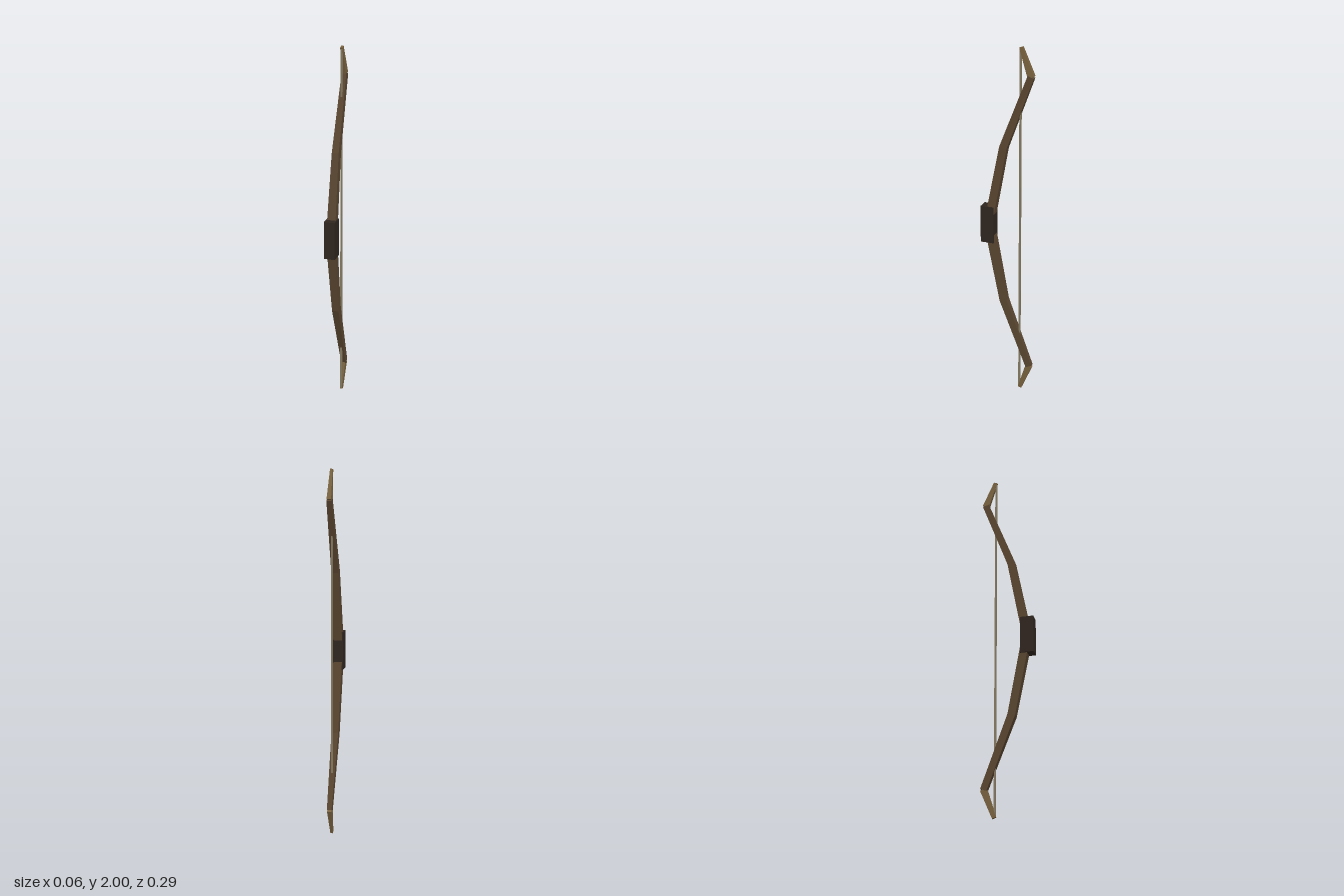
import * as THREE from 'three';

const paint = (color) => new THREE.MeshStandardMaterial({ color, flatShading: true });

// Lofts rectangular sections, listed bottom to top.
// Each section: [frontY, frontZ, backY, backZ, frontHalfWidth, backHalfWidth]
function loft(sections) {
  const positions = [];
  const index = [];
  for (const [fy, fz, by, bz, fw, bw] of sections) {
    positions.push(fw, fy, fz, bw, by, bz, -bw, by, bz, -fw, fy, fz);
  }
  for (let i = 0; i < sections.length - 1; i++) {
    for (let k = 0; k < 4; k++) {
      const a = i * 4 + k;
      const b = i * 4 + ((k + 1) % 4);
      index.push(a, b, b + 4, a, b + 4, a + 4);
    }
  }
  const t = (sections.length - 1) * 4;
  index.push(0, 2, 1, 0, 3, 2, t, t + 1, t + 2, t, t + 2, t + 3);
  const geometry = new THREE.BufferGeometry();
  geometry.setAttribute('position', new THREE.Float32BufferAttribute(positions, 3));
  geometry.setIndex(index);
  const flat = geometry.toNonIndexed();
  flat.computeVertexNormals();
  return flat;
}

// Reflects sections about the middle of the bow, keeping bottom-to-top order
const mirror = (sections) =>
  sections.map(([fy, fz, by, bz, fw, bw]) => [2 - fy, fz, 2 - by, bz, fw, bw]).reverse();

export function createModel() {
  const bow = new THREE.Group();
  bow.name = 'bow';
  const wood = paint(0x5a4630);
  const tipWood = paint(0x7a6340);
  const leather = paint(0x30261f);
  const cord = paint(0x857a62);

  const add = (name, geometry, material) => {
    const mesh = new THREE.Mesh(geometry, material);
    mesh.name = name;
    bow.add(mesh);
    return mesh;
  };

  // Two limbs joined behind the grip, bending back at each elbow
  const upper = [
    [1.06, 0.118, 1.05, 0.074, 0.024, 0.024],
    [1.455, 0.041, 1.445, 0.0, 0.019, 0.019],
    [1.853, -0.113, 1.84, -0.146, 0.013, 0.013],
  ];
  add('limbs', loft([...mirror(upper), ...upper]), wood);

  // Recurved tips, turning forward to meet the string
  const tip = [
    [1.834, -0.114, 1.851, -0.147, 0.012, 0.012],
    [1.993, -0.064, 2.0, -0.084, 0.006, 0.007],
  ];
  add('upperTip', loft(tip), tipWood);
  add('lowerTip', loft(mirror(tip)), tipWood);

  // Grip block
  add('grip', new THREE.BoxGeometry(0.06, 0.21, 0.074), leather).position.set(0, 1.0, 0.109);

  // String
  add('string', new THREE.BoxGeometry(0.01, 1.98, 0.01), cord).position.set(0, 1.0, -0.071);

  return bow;
}
